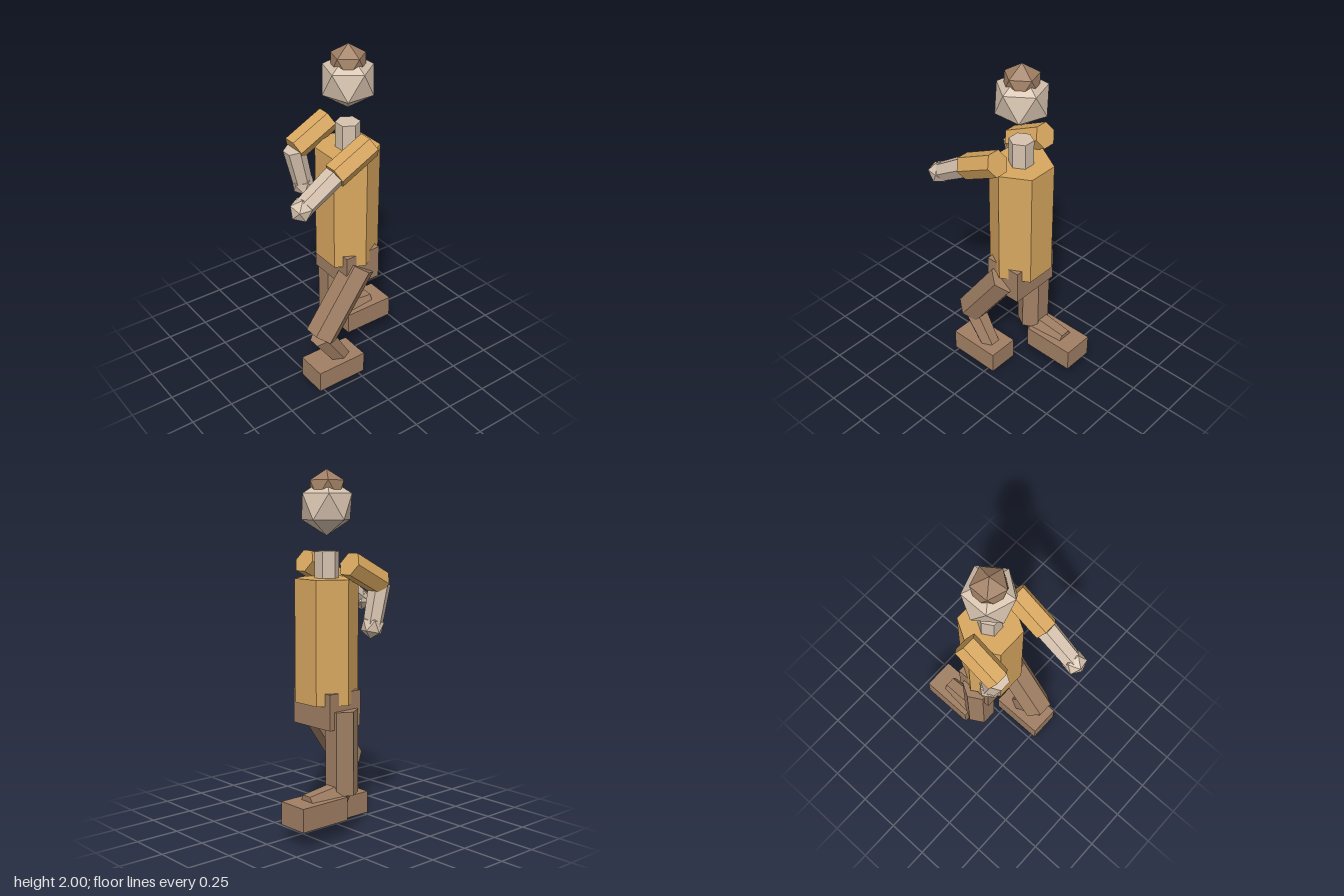
import * as THREE from 'three';

export function createModel() {
  const model = new THREE.Group();
  model.name = 'walkingFigure';

  const paint = (name, color) => {
    const m = new THREE.MeshStandardMaterial({ color, flatShading: true });
    m.name = name;
    return m;
  };
  const gold = paint('goldShirt', 0xd8a75f);
  const skin = paint('paleSkin', 0xd6c2ae);
  const brown = paint('brownCloth', 0xa07f64);

  const add = (name, geometry, material, x, y, z, tilt = 0) => {
    const mesh = new THREE.Mesh(geometry, material);
    mesh.name = name;
    mesh.position.set(x, y, z);
    mesh.rotation.x = tilt;
    model.add(mesh);
    return mesh;
  };

  // Six-sided limb between two [y, z] points, with corners facing the sides
  const limb = (name, material, x, from, to, r1, r2 = r1) => {
    const dy = to[0] - from[0], dz = to[1] - from[1];
    const geometry = new THREE.CylinderGeometry(r1, r2, Math.hypot(dy, dz), 6);
    geometry.rotateY(Math.PI / 6);
    return add(name, geometry, material, x, (from[0] + to[0]) / 2, (from[1] + to[1]) / 2, Math.atan2(-dz, -dy));
  };

  // Icosahedron standing on one corner
  const gem = (name, material, r, x, y, z, tilt) => {
    const geometry = new THREE.IcosahedronGeometry(r, 0);
    geometry.rotateZ(-Math.atan(2 / (1 + Math.sqrt(5))));
    return add(name, geometry, material, x, y, z, tilt);
  };

  const box = (name, material, w, h, d, x, y, z) =>
    add(name, new THREE.BoxGeometry(w, h, d), material, x, y, z);

  const midZ = -0.068;

  // Head and body
  gem('head', skin, 0.157, 0, 1.8, midZ);
  gem('hair', brown, 0.107, 0, 1.893, midZ);
  limb('neck', skin, 0, [1.56, midZ], [1.36, midZ], 0.068);
  limb('torso', gold, 0, [1.415, midZ], [0.73, midZ], 0.178);
  box('hips', brown, 0.304, 0.2, 0.225, 0, 0.7, midZ);

  // Arms: the left reaches forward, the right hangs bent
  const arms = [
    { side: 'left', x: 0.187, wrist: [1.257, 0.362] },
    { side: 'right', x: -0.187, wrist: [1.15, 0.1] },
  ];
  for (const { side, x, wrist } of arms) {
    const elbow = [1.386, 0.155];
    limb(side + 'UpperArm', gold, x, [1.5, -0.072], elbow, 0.073);
    const forearm = limb(side + 'Forearm', skin, x, elbow, wrist, 0.062, 0.055);
    gem(side + 'Hand', skin, 0.068, x, wrist[0], wrist[1], forearm.rotation.x);
  }

  // Legs: the left steps forward, the right trails with a raised foot
  const legs = [
    { side: 'left', x: 0.12, knee: [0.32, 0.204], ankle: [0.106, 0.066], foot: [0.065, 0.118] },
    { side: 'right', x: -0.12, knee: [0.23, -0.063], ankle: [0.21, -0.316], foot: [0.165, -0.262] },
  ];
  for (const { side, x, knee, ankle, foot } of legs) {
    limb(side + 'Thigh', brown, x, [0.7, -0.065], knee, 0.093);
    limb(side + 'Shin', brown, x, knee, ankle, 0.07, 0.058);
    box(side + 'Foot', brown, 0.184, 0.13, 0.316, x, foot[0], foot[1]);
  }

  return model;
}
